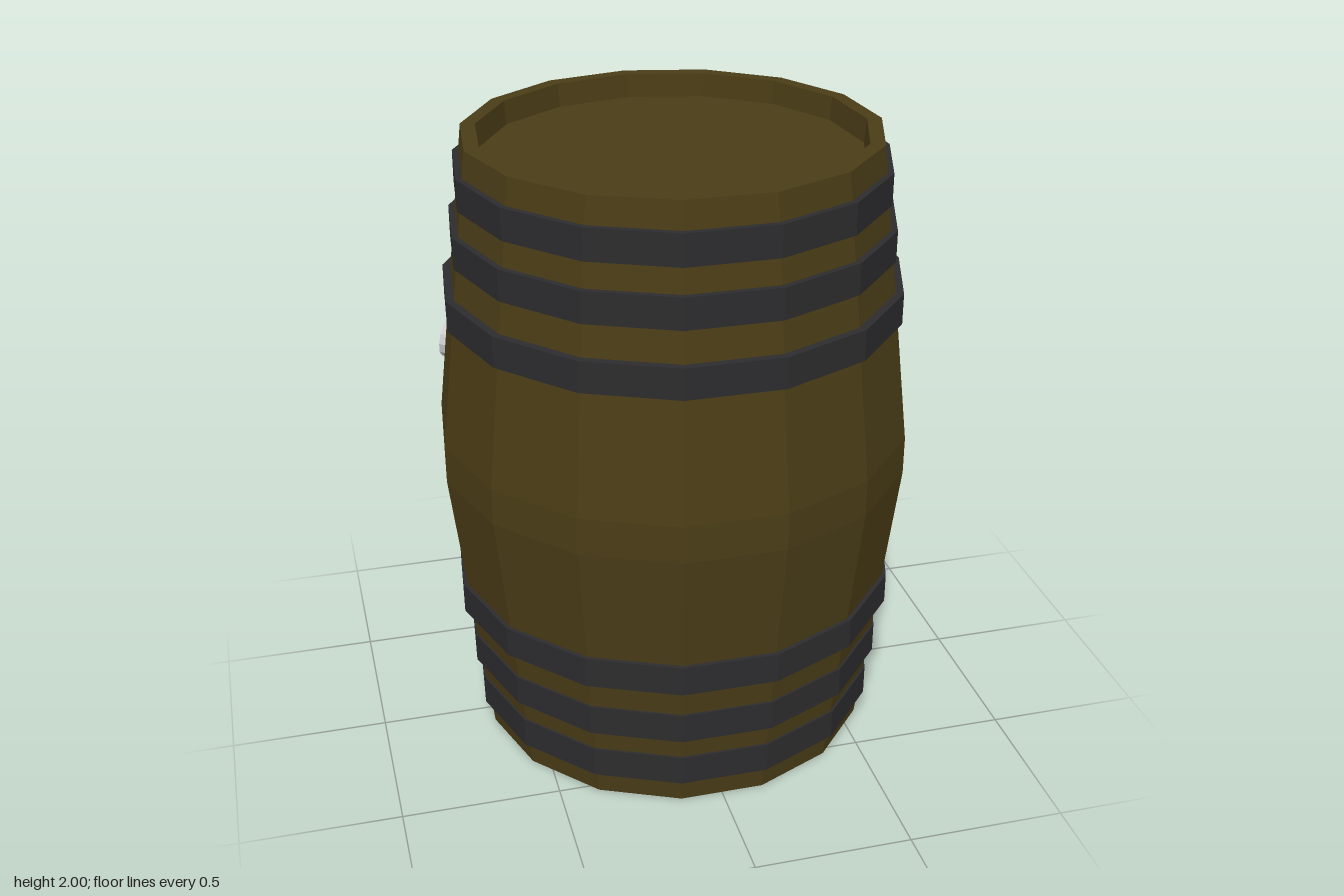
import * as THREE from 'three';

const SIDES = 15;

export function createModel() {
  const barrel = new THREE.Group();
  barrel.name = 'barrel';
  const wood = new THREE.MeshStandardMaterial({ color: 0x4a3c16, flatShading: true });
  const iron = new THREE.MeshStandardMaterial({ color: 0x2c2c2e, flatShading: true });
  const plugMaterial = new THREE.MeshStandardMaterial({ color: 0xcccccc, flatShading: true });

  // Turned part with one corner pointing to the back
  function turned(name, profile, material) {
    const points = profile.map(([r, y]) => new THREE.Vector2(r, y));
    const mesh = new THREE.Mesh(new THREE.LatheGeometry(points, SIDES, Math.PI), material);
    mesh.name = name;
    mesh.position.z = 0.008;
    barrel.add(mesh);
  }

  // Staves with raised rims and a recessed head at each end
  turned('staves', [
    [0, 0.075], [0.588, 0.075], [0.594, 0], [0.64, 0],
    [0.7, 0.5], [0.752, 0.94], [0.752, 1.06], [0.7, 1.5],
    [0.64, 2], [0.594, 2], [0.588, 1.925], [0, 1.925],
  ], wood);

  // Three hoops at each end, mirrored about the middle
  const hoops = [[0.669, 0.132], [0.69, 0.308], [0.72, 0.505]];
  for (const [r, height] of hoops) {
    for (const y of [height, 2 - height]) {
      const lo = y - 0.049, hi = y + 0.049, inner = r - 0.05;
      turned('hoop', [[inner, lo], [r, lo], [r, hi], [inner, hi], [inner, lo]], iron);
    }
  }

  // Round bung set square on one stave
  const bung = new THREE.Mesh(new THREE.CylinderGeometry(0.065, 0.065, 0.06, 12), plugMaterial);
  bung.name = 'bung';
  const outward = new THREE.Vector3(-Math.cos(Math.PI / 6), 0.1, -0.5).normalize();
  bung.quaternion.setFromUnitVectors(new THREE.Vector3(0, 1, 0), outward);
  bung.position.set(-0.643, 1.23, -0.35);
  barrel.add(bung);

  return barrel;
}
